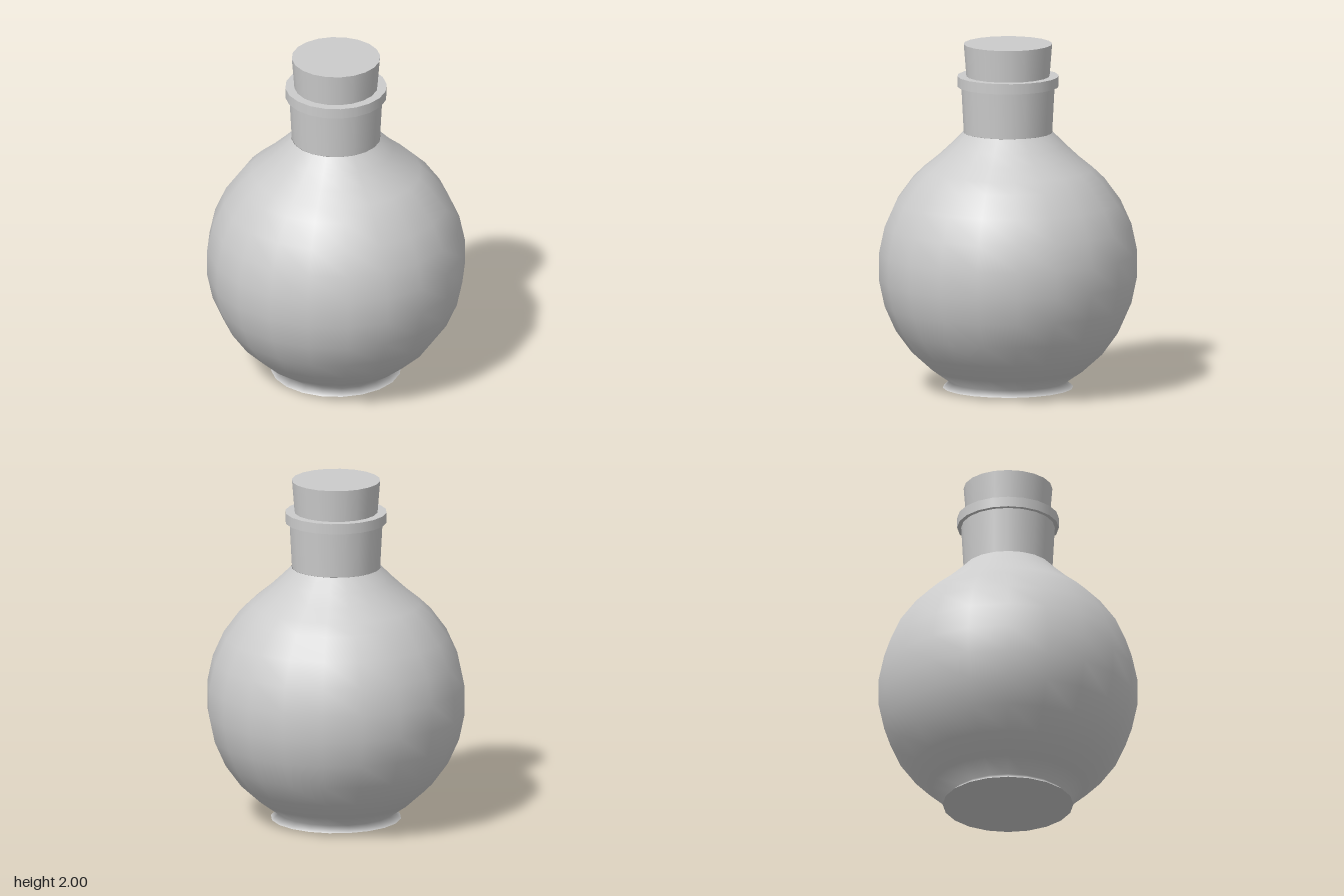
import * as THREE from 'three';

const material = new THREE.MeshStandardMaterial({ color: 0xcccccc, side: THREE.DoubleSide });
const SIDES = 20;

// Each strip is a smooth profile of [radius, y]; separate strips meet at sharp edges.
function turned(name, ...strips) {
  const part = new THREE.Group();
  part.name = name;
  strips.forEach((strip, i) => {
    const points = strip.map(([r, y]) => new THREE.Vector2(r, y));
    const mesh = new THREE.Mesh(new THREE.LatheGeometry(points, SIDES), material);
    mesh.name = `${name}Surface${i + 1}`;
    part.add(mesh);
  });
  return part;
}

export function createModel() {
  const model = new THREE.Group();
  model.name = 'flask';

  // Round belly, rising from the flared foot and sweeping into the shoulder
  const belly = [[0.373, 0.015], [0.335, 0.05]];
  for (let deg = -54; deg <= 42; deg += 12) {
    const a = THREE.MathUtils.degToRad(deg);
    belly.push([0.742 * Math.cos(a), 0.72 + 0.742 * Math.sin(a)]);
  }
  belly.push([0.485, 1.28], [0.405, 1.345], [0.33, 1.415], [0.255, 1.49]);
  model.add(turned('body', belly));

  // Slightly domed underside
  model.add(turned('base', [[0, 0], [0.2, 0], [0.373, 0.015]]));

  // Neck, widening a little towards the lip
  model.add(turned('neck', [[0.253, 1.49], [0.267, 1.755]]));

  // Lip ring
  model.add(turned('lip',
    [[0.262, 1.755], [0.29, 1.755]],
    [[0.29, 1.755], [0.29, 1.815]],
    [[0.29, 1.815], [0.235, 1.815]]));

  // Tapered stopper
  model.add(turned('stopper',
    [[0.237, 1.8], [0.253, 2]],
    [[0.253, 2], [0, 2]]));

  return model;
}
